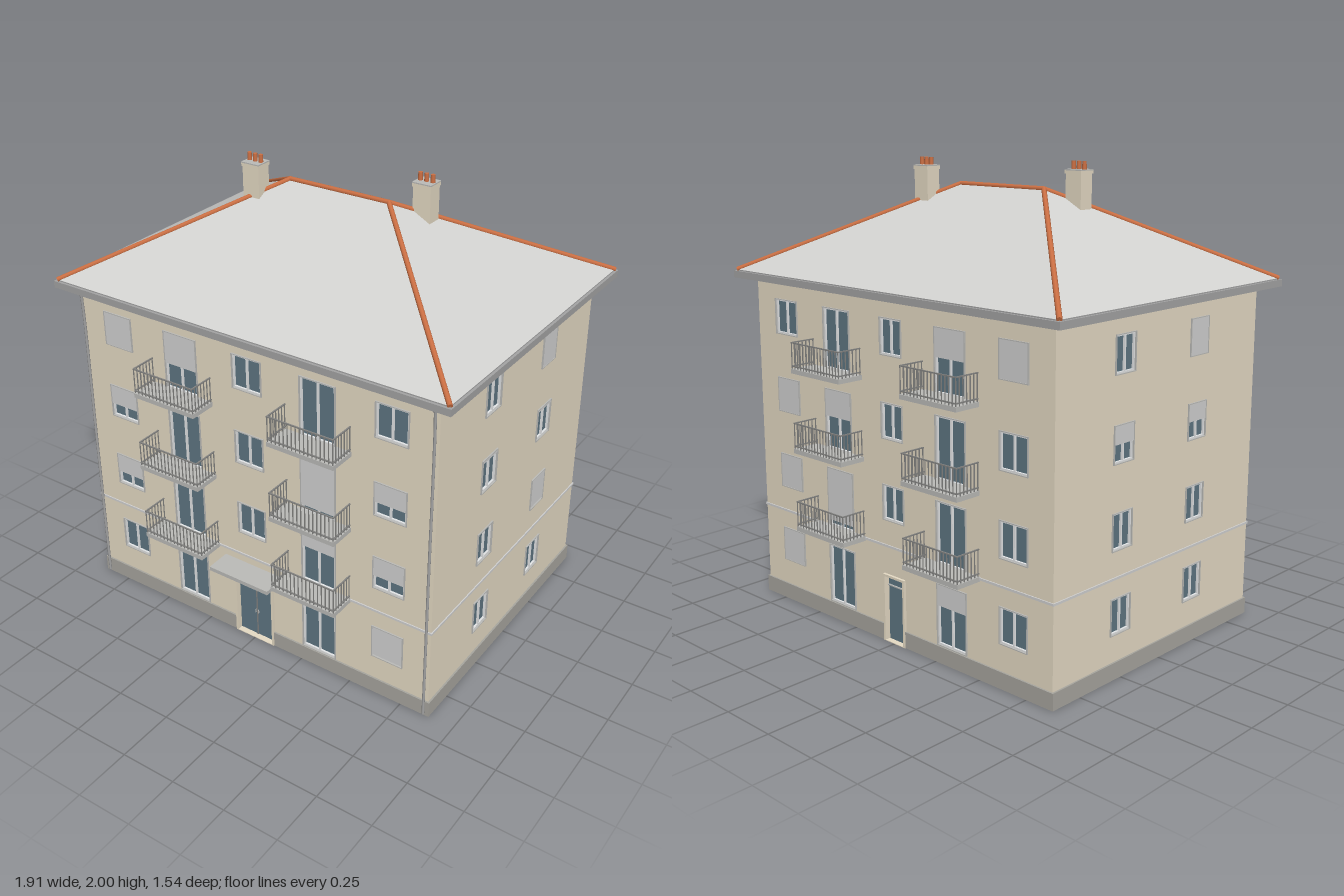
import * as THREE from 'three';

const mat = (name, color, double = false) => {
  const m = new THREE.MeshStandardMaterial({ color });
  m.name = name;
  if (double) m.side = THREE.DoubleSide;
  return m;
};
const M = {
  wall: mat('beige plaster', 0xe6dbc5, true),
  base: mat('plinth grey', 0xa8a69f),
  roof: mat('roof grey', 0xd2d2d0),
  ridge: mat('terracotta', 0xcc7044),
  gutter: mat('gutter grey', 0xa4a4a4),
  frame: mat('window white', 0xe8eaeb),
  glass: mat('blue grey glass', 0x5f7683, true),
  blind: mat('blind grey', 0xd2d2d2, true),
  rail: mat('railing grey', 0x848482),
  slab: mat('concrete', 0xbcbcb9),
};

const W = 0.878, D = 0.645, WALL_TOP = 1.5, FLOOR = 0.351;
const EAVE_X = 0.945, EAVE_Z = 0.705, EAVE_Y = 1.51, RIDGE_X = 0.243, RIDGE_Y = 1.885;

function add(parent, name, geometry, material, x = 0, y = 0, z = 0) {
  const mesh = new THREE.Mesh(geometry, material);
  mesh.name = name;
  mesh.position.set(x, y, z);
  parent.add(mesh);
  return mesh;
}
const box = (parent, name, material, w, h, d, x, y, z) =>
  add(parent, name, new THREE.BoxGeometry(w, h, d), material, x, y, z);

// round bar between two points
function bar(parent, name, material, a, b, r, sides = 8) {
  const dir = b.clone().sub(a);
  const mesh = add(parent, name, new THREE.CylinderGeometry(r, r, dir.length(), sides), material);
  mesh.position.copy(a).addScaledVector(dir, 0.5);
  mesh.quaternion.setFromUnitVectors(new THREE.Vector3(0, 1, 0), dir.normalize());
}

function rect(target, x0, y0, x1, y1) {
  target.moveTo(x0, y0);
  target.lineTo(x1, y0);
  target.lineTo(x1, y1);
  target.lineTo(x0, y1);
  target.closePath();
  return target;
}
const extrude = (shape, depth) => new THREE.ExtrudeGeometry(shape, { depth, bevelEnabled: false });

// two-pane window with a grey surround and a blind lowered by a fraction
function windowUnit(g, { w, h, blind }) {
  const hw = w / 2, s = 0.004, f = 0.01, m = 0.004;
  const surround = rect(new THREE.Shape(), -hw, 0, hw, h);
  surround.holes.push(rect(new THREE.Path(), -hw + s, s, hw - s, h - s));
  add(g, 'surround', extrude(surround, 0.026), M.slab, 0, 0, -0.02);
  const frame = rect(new THREE.Shape(), -hw + s, s, hw - s, h - s);
  frame.holes.push(rect(new THREE.Path(), -hw + f, f, -m, h - f), rect(new THREE.Path(), m, f, hw - f, h - f));
  add(g, 'frame', extrude(frame, 0.014), M.frame, 0, 0, -0.015);
  add(g, 'glass', new THREE.PlaneGeometry(w - s, h - s), M.glass, 0, h / 2, -0.01);
  if (blind) {
    const bh = (h - 2 * s) * blind;
    box(g, 'blind', M.blind, w - 2 * s, bh, 0.004, 0, h - s - bh / 2, 0.002);
  }
}

// entrance with a transom light and one or two glazed leaves
function doorUnit(g, { w, h, leaves }) {
  const hw = w / 2, f = 0.01, m = 0.002, split = h - 0.052;
  const frame = rect(new THREE.Shape(), -hw, 0, hw, h);
  frame.holes.push(rect(new THREE.Path(), -hw + f, 0.003, hw - f, h - f));
  add(g, 'surround', extrude(frame, 0.034), M.wall, 0, 0, -0.022);
  add(g, 'glass', new THREE.PlaneGeometry(w - 0.01, h - 0.006), M.glass, 0, h / 2, -0.014);
  box(g, 'transomBar', M.slab, w - 2 * f, 0.005, 0.008, 0, split, -0.011);
  if (leaves === 2) box(g, 'meetingStile', M.rail, 2 * m, split, 0.006, 0, split / 2, -0.012);
  for (let i = 0; i < leaves; i++)
    box(g, 'handle', M.slab, 0.003, 0.016, 0.006, leaves === 2 ? (i - 0.5) * 0.014 : hw - 0.02, h * 0.4, -0.01);
}

function balcony(parent, x, y) {
  const g = new THREE.Group();
  g.name = 'balcony';
  g.position.set(x, y, 0);
  parent.add(g);
  const w = 0.314, d = 0.124, h = 0.115, t = 0.005, hw = w / 2 - 0.004, zf = d - 0.004;
  box(g, 'slab', M.slab, w, 0.02, d, 0, -0.01, d / 2);
  for (const yy of [0.012, h - t / 2]) {
    box(g, 'frontRail', M.rail, w - 0.004, t, 0.006, 0, yy, zf);
    for (const s of [-1, 1]) box(g, 'sideRail', M.rail, 0.006, t, d - 0.004, s * hw, yy, d / 2);
  }
  for (let i = 0; i <= 16; i++)
    box(g, 'baluster', M.rail, 0.0035, h, 0.0035, -hw + 2 * hw * i / 16, h / 2, zf);
  for (const s of [-1, 1]) for (let i = 0; i < 6; i++)
    box(g, 'baluster', M.rail, 0.0035, h, 0.0035, s * hw, h / 2, 0.006 + i * 0.019);
}

// one wall with its openings, facing +z
function facade(parent, name, halfWidth, distance, angle, openings, balconies) {
  const g = new THREE.Group();
  g.name = name;
  g.rotation.y = angle;
  g.position.set(Math.sin(angle) * distance, 0, Math.cos(angle) * distance);
  parent.add(g);
  const shape = rect(new THREE.Shape(), -halfWidth, 0, halfWidth, WALL_TOP);
  for (const o of openings) {
    shape.holes.push(rect(new THREE.Path(), o.x - o.w / 2 + 0.002, o.y + 0.002, o.x + o.w / 2 - 0.002, o.y + o.h - 0.002));
    const unit = new THREE.Group();
    unit.name = o.leaves ? 'entranceDoor' : 'window';
    unit.position.set(o.x, o.y, 0);
    g.add(unit);
    (o.leaves ? doorUnit : windowUnit)(unit, o);
  }
  add(g, 'wall', new THREE.ShapeGeometry(shape), M.wall);
  // plinth, interrupted by the door, and string course
  const door = openings.find(o => o.leaves), end = halfWidth + 0.007;
  const runs = door ? [[-end, -door.w / 2], [door.w / 2, end]] : [[-end, end]];
  for (const [a, b] of runs) box(g, 'plinth', M.base, b - a, 0.072, 0.008, (a + b) / 2, 0.036, 0.004);
  box(g, 'stringCourse', M.blind, 2 * halfWidth + 0.01, 0.01, 0.005, 0, 0.425, 0.0025);
  if (balconies) for (const x of [-0.34, 0.34]) for (let i = 1; i < 4; i++) balcony(g, x, 0.082 + i * FLOOR);
  return g;
}

// openings for a grid of columns; blinds are listed from the ground floor up
function grid(columns) {
  const list = [];
  for (const { x, w, h = 0.157, blinds, from = 0 } of columns)
    blinds.forEach((blind, i) => {
      if (i >= from) list.push({ x, w, h, y: 0.343 + i * FLOOR - h, blind });
    });
  return list;
}

function chimney(parent, x, z) {
  const g = new THREE.Group();
  g.name = 'chimney';
  g.position.set(x, 0, z);
  parent.add(g);
  box(g, 'stack', M.wall, 0.082, 0.2, 0.07, 0, 1.85, 0);
  box(g, 'collar', M.wall, 0.088, 0.014, 0.078, 0, 1.955, 0);
  box(g, 'cap', M.slab, 0.088, 0.005, 0.078, 0, 1.9645, 0);
  for (const px of [-0.029, 0, 0.029])
    add(g, 'pot', new THREE.CylinderGeometry(0.009, 0.01, 0.035, 12), M.ridge, px, 1.9825, 0);
}

function roof(parent) {
  const g = new THREE.Group();
  g.name = 'roof';
  parent.add(g);
  const v = (x, y, z) => new THREE.Vector3(x, y, z);
  const [a, b, c, d] = [[-1, 1], [1, 1], [1, -1], [-1, -1]].map(([sx, sz]) => v(sx * EAVE_X, EAVE_Y, sz * EAVE_Z));
  const l = v(-RIDGE_X, RIDGE_Y, 0), r = v(RIDGE_X, RIDGE_Y, 0);
  const slopes = new THREE.BufferGeometry().setFromPoints([a, b, r, a, r, l, c, d, l, c, l, r, b, c, r, d, a, l]);
  slopes.computeVertexNormals();
  add(g, 'slopes', slopes, M.roof);
  box(g, 'eaves', M.gutter, 2 * EAVE_X, 0.024, 2 * EAVE_Z, 0, EAVE_Y - 0.0125, 0);
  // gutters
  for (const s of [-1, 1]) {
    box(g, 'gutter', M.gutter, 2 * EAVE_X + 0.022, 0.03, 0.014, 0, EAVE_Y - 0.02, s * (EAVE_Z + 0.004));
    box(g, 'gutter', M.gutter, 0.014, 0.03, 2 * EAVE_Z + 0.022, s * (EAVE_X + 0.004), EAVE_Y - 0.02, 0);
  }
  // ridge and hip tiles
  bar(g, 'ridgeTiles', M.ridge, l, r, 0.011);
  for (const [p, q] of [[a, l], [d, l], [b, r], [c, r]]) bar(g, 'hipTiles', M.ridge, p, q, 0.011);
  for (const p of [l, r]) add(g, 'ridgeEnd', new THREE.SphereGeometry(0.011, 8, 6), M.ridge, p.x, p.y, p.z);
}

export function createModel() {
  const house = new THREE.Group();
  house.name = 'apartmentHouse';
  const body = new THREE.Group();
  body.name = 'building';
  body.position.z = -0.005;
  house.add(body);

  const outer = 0.677, mid = 0.34, tall = 0.268;
  const front = facade(body, 'frontFacade', W, D, 0, [
    ...grid([
      { x: -outer, w: 0.15, blinds: [0, 0.6, 0.6, 1] },
      { x: -mid, w: 0.17, h: tall, blinds: [0, 0, 0, 0.55] },
      { x: 0, w: 0.146, blinds: [0, 0, 0, 0], from: 1 },
      { x: mid, w: 0.17, h: tall, blinds: [0.15, 0.33, 0.9, 0] },
      { x: outer, w: 0.15, blinds: [0.96, 0.6, 0.6, 0] },
    ]),
    { x: 0, y: 0, w: 0.206, h: 0.33, leaves: 2 },
  ], true);
  box(front, 'entranceCanopy', M.slab, 0.306, 0.018, 0.112, 0, 0.376, 0.056);

  facade(body, 'backFacade', W, D, Math.PI, [
    ...grid([
      { x: -outer, w: 0.15, blinds: [1, 1, 1, 0] },
      { x: -mid, w: 0.17, h: tall, blinds: [0, 0.9, 0.45, 0] },
      { x: 0, w: 0.13, blinds: [0, 0, 0, 0], from: 1 },
      { x: mid, w: 0.17, h: tall, blinds: [0.35, 0, 0, 0.45] },
      { x: outer, w: 0.15, blinds: [0, 0, 0, 1] },
    ]),
    { x: 0, y: 0, w: 0.13, h: 0.3, leaves: 1 },
  ], true);

  facade(body, 'leftFacade', D, W, Math.PI / 2, grid([
    { x: -0.235, w: 0.124, blinds: [0, 0, 0.08, 0] },
    { x: 0.245, w: 0.124, blinds: [0, 0.95, 0.08, 1] },
  ]));
  facade(body, 'rightFacade', D, W, -Math.PI / 2, grid([
    { x: -0.245, w: 0.124, blinds: [0, 0, 0.5, 0] },
    { x: 0.235, w: 0.124, blinds: [0, 0, 0.5, 1] },
  ]));

  roof(body);
  chimney(body, -0.355, 0.09);
  chimney(body, 0.355, -0.1);

  // downpipes at the front corners
  for (const s of [-1, 1]) {
    const path = new THREE.CatmullRomCurve3([[0.01, 0.012], [0.7, 0.012], [1.4, 0.012], [1.45, 0.018], [1.475, 0.05], [1.49, 0.058]]
      .map(([y, z]) => new THREE.Vector3(s * 0.862, y, D + z)));
    add(body, 'downpipe', new THREE.TubeGeometry(path, 40, 0.006, 8), M.gutter);
  }
  return house;
}
